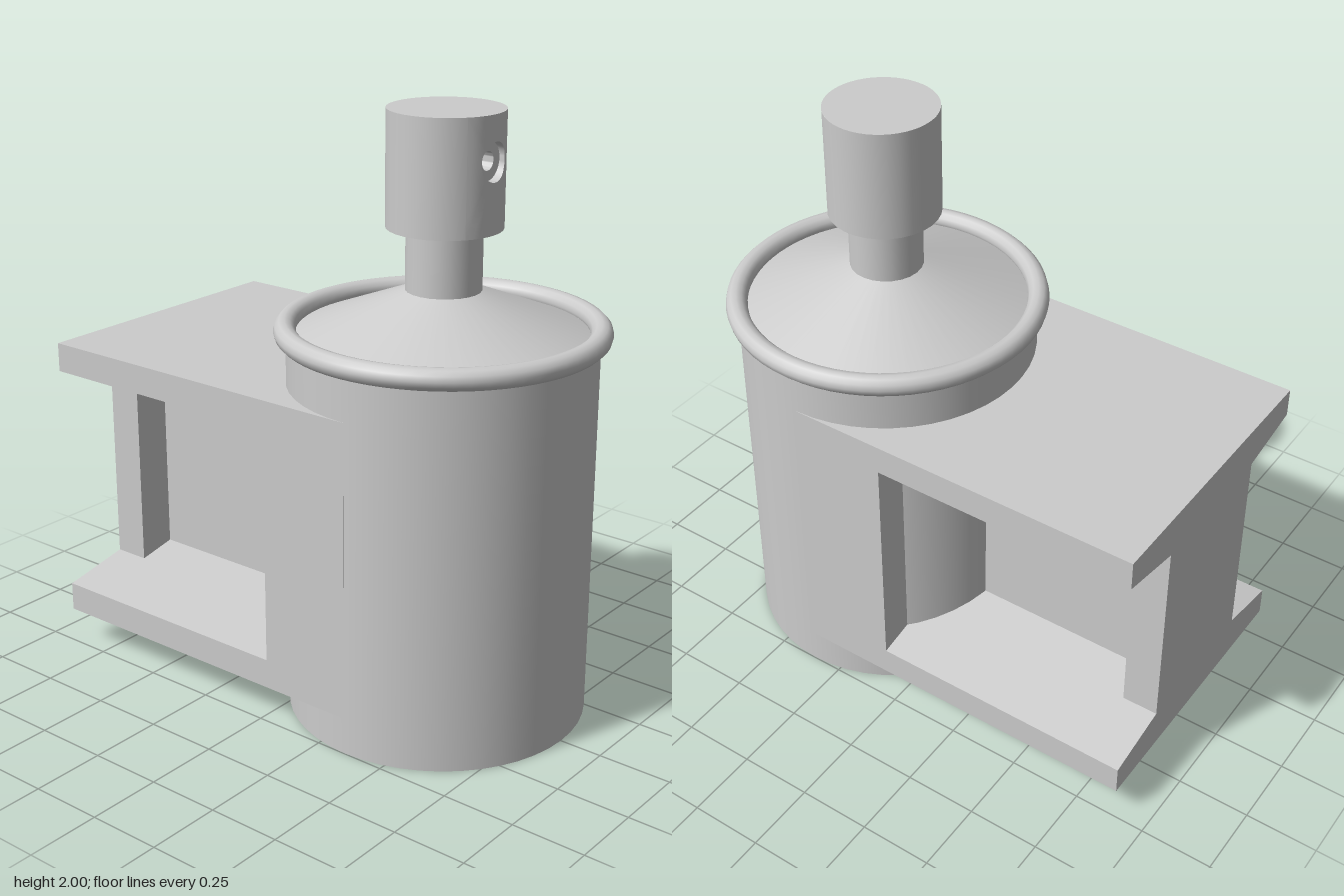
import * as THREE from 'three';
import { toCreasedNormals } from 'three/addons/utils/BufferGeometryUtils.js';

const AXIS = 0.355; // x of the upright axis
const material = new THREE.MeshStandardMaterial({ color: 0xcccccc });

export function createModel() {
  const root = new THREE.Group();
  const add = (name, geometry, x = 0, y = 0, parent = root) => {
    const mesh = new THREE.Mesh(geometry, material);
    mesh.name = name;
    mesh.position.set(x, y, 0);
    parent.add(mesh);
    return mesh;
  };
  const cylinder = (name, rTop, rBottom, y0, y1, sides) =>
    add(name, new THREE.CylinderGeometry(rTop, rBottom, y1 - y0, sides), AXIS, (y0 + y1) / 2);

  // Drum with rolled rim, sloping lid and neck
  cylinder('drum', 0.498, 0.498, 0, 1.29, 48);
  const rim = add('rim', new THREE.TorusGeometry(0.5, 0.036, 12, 64), AXIS, 1.3);
  rim.rotation.x = Math.PI / 2;
  cylinder('lid', 0.12, 0.48, 1.285, 1.43, 48);
  cylinder('neck', 0.122, 0.122, 1.42, 1.64, 24);

  // Side bracket: I-sections with tapered flanges, running into a solid root block
  const bracket = new THREE.Group();
  bracket.name = 'bracket';
  root.add(bracket);
  const iBeam = (name, x0, x1, web) => {
    const w = 0.499, top = 0.5, lip = 0.4, inner = lip - (w - web) * 0.2;
    const quarter = [[web, inner], [w, lip], [w, top]];
    const mirrored = [...quarter].reverse().map(([z, y]) => [-z, y]);
    const upper = [...quarter, ...mirrored];
    const lower = upper.map(([z, y]) => [-z, -y]);
    const shape = new THREE.Shape([...upper, ...lower].map(([z, y]) => new THREE.Vector2(z, y)));
    const geometry = new THREE.ExtrudeGeometry(shape, { depth: x1 - x0, bevelEnabled: false });
    geometry.rotateY(Math.PI / 2);
    add(name, geometry, x0, 0.625, bracket);
  };
  iBeam('endPost', -0.895, -0.77, 0.26);
  iBeam('flangesAndWeb', -0.77, 0.03, 0.125);
  add('rootBlock', new THREE.BoxGeometry(0.325, 1, 0.998), 0.1925, 0.625, bracket);

  // Head: a closed cylinder wall with a window, filled by the screw hole patch
  const head = new THREE.Group();
  head.name = 'head';
  head.position.x = AXIS;
  root.add(head);
  const R = 0.185, y0 = 1.63, y1 = 2, holeY = 1.855, half = 0.6;
  add('headWall', new THREE.CylinderGeometry(R, R, y1 - y0, 24, 1, true,
    Math.PI / 2 + half, 2 * Math.PI - 2 * half), 0, (y0 + y1) / 2, head);
  for (const [name, y, turn] of [['headTop', y1, -1], ['headUnderside', y0, 1]]) {
    add(name, new THREE.CircleGeometry(R, 48), 0, y, head).rotation.x = turn * Math.PI / 2;
  }
  add('screwHole', screwHole(R, half, y1 - holeY, holeY - y0), 0, holeY, head);

  return root;
}

// Curved window patch lofted from its rectangular edge into a stepped round hole
function screwHole(R, half, up, down) {
  const n = 48, positions = [], index = [], rings = [];
  const onWall = (u, y) => [R * Math.cos(u / R), y, -R * Math.sin(u / R)];
  for (const t of [0, 0.25, 0.5, 0.75, 1]) {
    rings.push((c, s) => {
      const m = Math.max(Math.abs(c), Math.abs(s));
      const u = R * half * c / m, y = (s > 0 ? up : down) * s / m;
      return onWall(u + (0.062 * c - u) * t, y + (0.062 * s - y) * t);
    });
  }
  for (const [r, x] of [[0.062, 0.155], [0.03, 0.155], [0.03, 0.11], [0.0001, 0.11]]) {
    rings.push((c, s) => [x, r * s, -r * c]);
  }
  rings.forEach((ring, i) => {
    for (let k = 0; k < n; k++) {
      const a = (k / n) * Math.PI * 2;
      positions.push(...ring(Math.cos(a), Math.sin(a)));
      if (i === 0) continue;
      const next = (k + 1) % n, o = (i - 1) * n, p = i * n;
      index.push(o + k, o + next, p + next, o + k, p + next, p + k);
    }
  });
  const geometry = new THREE.BufferGeometry();
  geometry.setAttribute('position', new THREE.Float32BufferAttribute(positions, 3));
  geometry.setIndex(index);
  return toCreasedNormals(geometry, 0.6);
}
